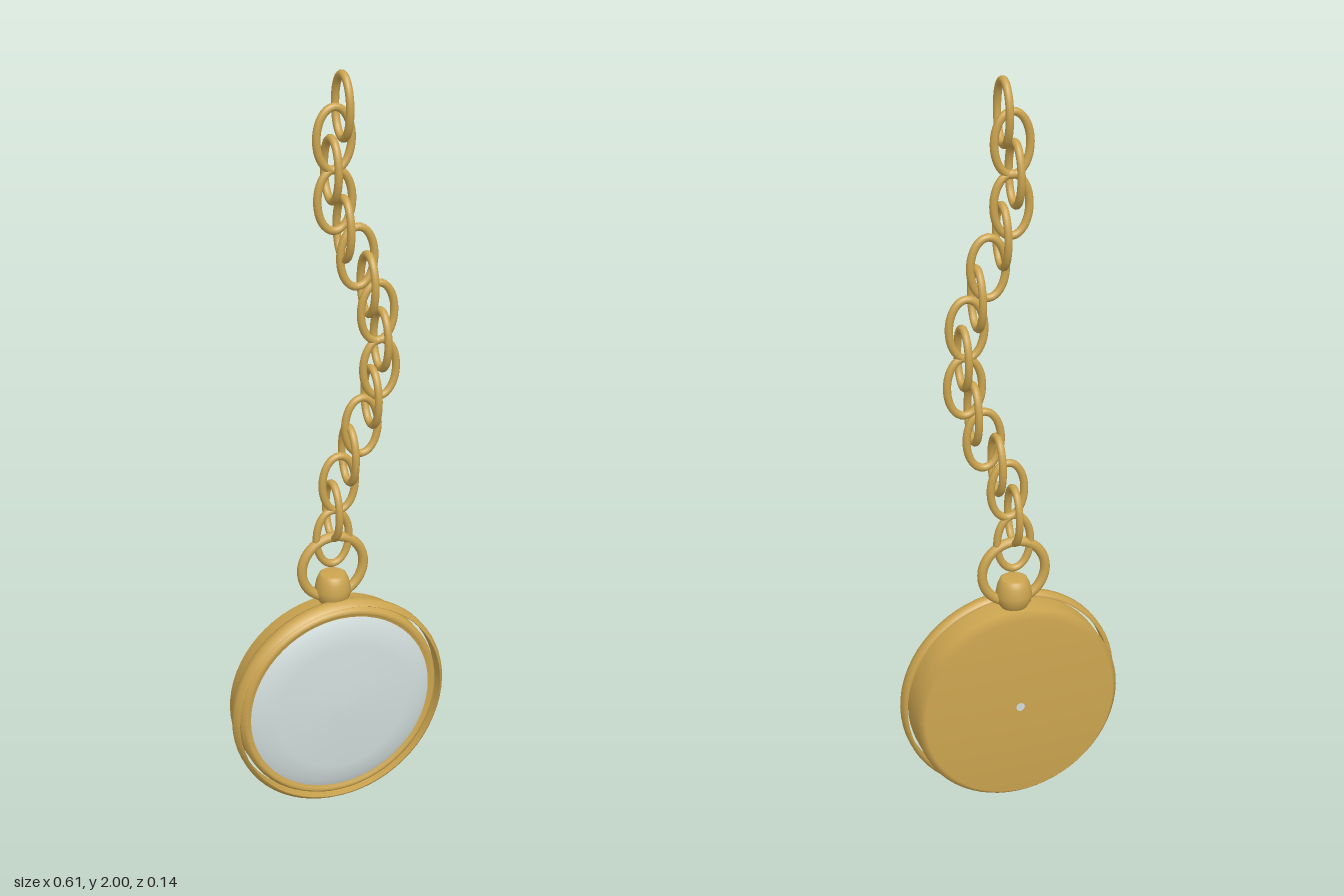
import * as THREE from 'three';

const Z = -0.016; // depth of the crown, bow and chain

export function createModel() {
  const gold = new THREE.MeshStandardMaterial({ color: 0xcba44f });
  gold.name = 'gold';
  const glass = new THREE.MeshStandardMaterial({ color: 0xd0dcda });
  glass.name = 'pale glass';

  const model = new THREE.Group();
  model.name = 'pocketWatch';

  const add = (parent, name, geometry, material, x = 0, y = 0, z = 0) => {
    const mesh = new THREE.Mesh(geometry, material);
    mesh.name = name;
    mesh.position.set(x, y, z);
    parent.add(mesh);
    return mesh;
  };
  const lathe = (profile, segments = 64) =>
    new THREE.LatheGeometry(profile.map(([r, h]) => new THREE.Vector2(r, h)), segments);

  // Watch: turned parts whose axis points to the front
  const watch = new THREE.Group();
  watch.name = 'watch';
  watch.position.y = 0.303;
  model.add(watch);
  const turned = (name, profile, material) =>
    add(watch, name, lathe(profile).rotateX(Math.PI / 2), material);

  // Back shell, and the bead that closes it around the glass
  turned('caseBack', [[0.01, -0.071], [0.265, -0.071], [0.283, -0.05], [0.283, 0.03]], gold);
  turned('glassBezel', [[0.283, 0.03], [0.277, 0.042], [0.27, 0.046], [0.265, 0.042], [0.256, 0.04]], gold);
  // Separate outer band, closed all round, with a narrow gap to the case
  turned('outerBand', [
    [0.29, 0.008], [0.297, 0.007], [0.303, 0.02], [0.303, 0.035],
    [0.292, 0.05], [0.29, 0.047], [0.29, 0.008],
  ], gold);
  // Domed glass
  turned('glass', [[0.258, 0.04], [0.235, 0.05], [0.185, 0.062], [0.01, 0.068]], glass);
  // Centre pin, running through from front to back
  add(watch, 'centrePin', new THREE.CylinderGeometry(0.012, 0.012, 0.14, 16).rotateX(Math.PI / 2),
    glass, 0, 0, -0.0015);

  // Crown
  add(model, 'crown', lathe([
    [0.036, 0.588], [0.046, 0.605], [0.048, 0.625], [0.043, 0.65],
    [0.036, 0.666], [0.03, 0.67], [0, 0.67],
  ], 32), gold, 0, 0, Z);

  // Bow ring
  add(model, 'bow', new THREE.TorusGeometry(0.087, 0.013, 12, 48), gold, 0, 0.688, Z);

  // Chain: oval links, turned alternately to the front and to the side
  const oval = new THREE.CatmullRomCurve3(
    Array.from({ length: 16 }, (_, i) => {
      const a = (i / 16) * Math.PI * 2;
      return new THREE.Vector3(0.0455 * Math.cos(a), 0.0772 * Math.sin(a), 0);
    }), true);
  const linkGeometry = new THREE.TubeGeometry(oval, 40, 0.0102, 10, true);
  const chain = new THREE.Group();
  chain.name = 'chain';
  model.add(chain);
  const sway = [0, 0, 0.017, 0.045, 0.08, 0.107, 0.129, 0.132,
    0.122, 0.095, 0.066, 0.03, 0.006, -0.003, 0.004, 0.026];
  sway.forEach((x, i) => {
    const link = add(chain, 'chainLink', linkGeometry, gold, x, 0.775 + i * 0.0758, Z);
    link.rotation.y = i % 2 ? Math.PI / 2 : 0;
  });

  return model;
}
